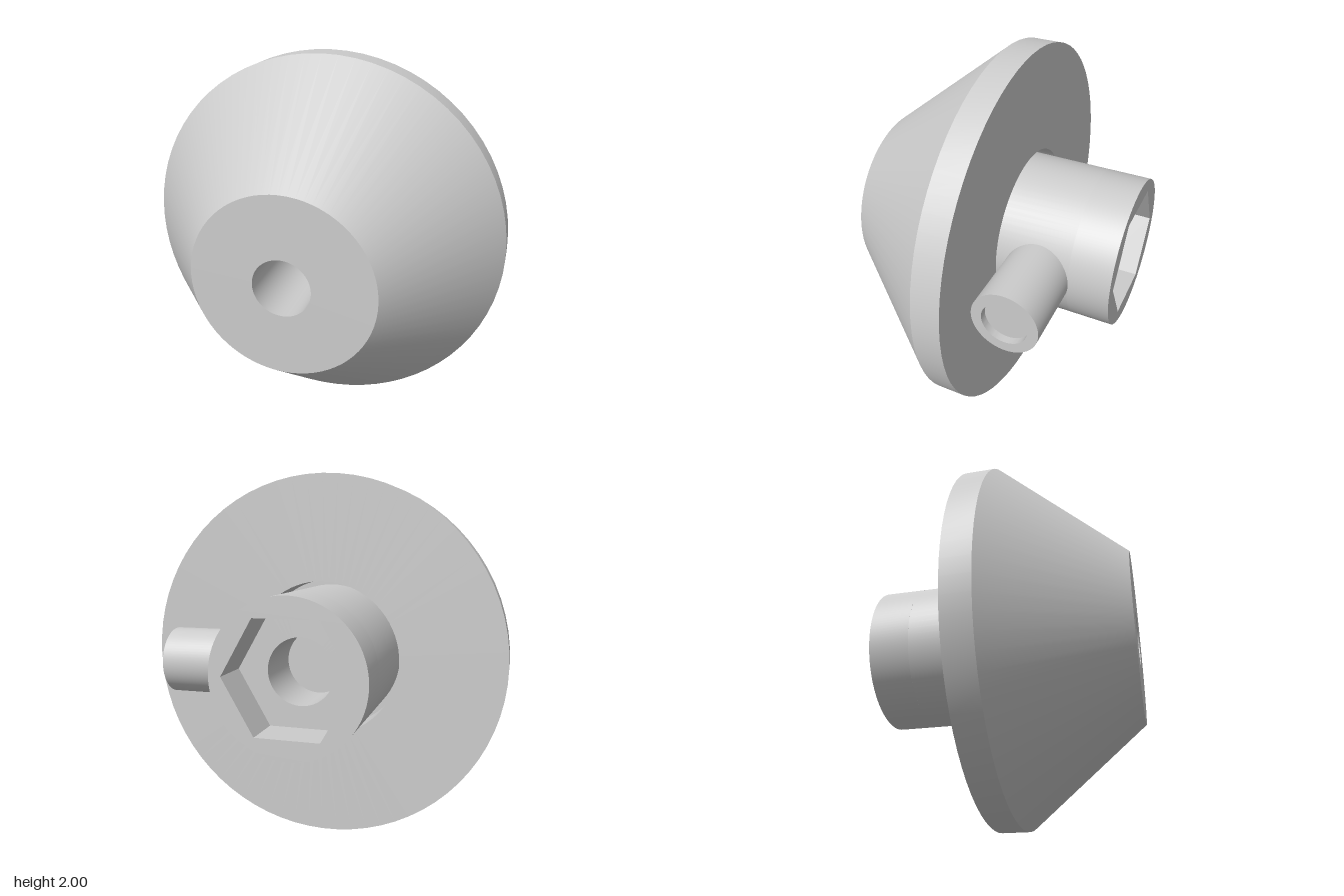
import * as THREE from 'three';
import { toCreasedNormals } from 'three/addons/utils/BufferGeometryUtils.js';

const SEGMENTS = 72;

// Named mesh with smooth curves and sharp edges
function part(name, geometry) {
  const material = new THREE.MeshStandardMaterial({ color: 0xcccccc });
  const mesh = new THREE.Mesh(toCreasedNormals(geometry, 0.5), material);
  mesh.name = name;
  return mesh;
}

// Turned solid: profile of [radius, z] pairs around the z axis
function turned(profile) {
  const points = profile.map(([r, z]) => new THREE.Vector2(r, z));
  return new THREE.LatheGeometry(points, SEGMENTS).rotateX(Math.PI / 2);
}

export function createModel() {
  const group = new THREE.Group();
  const body = new THREE.Group();
  body.name = 'knob';
  body.position.y = 1;
  group.add(body);

  // Tapered head with a rim, a front bore and a rear socket for the hub
  body.add(part('taperedHead', turned([
    [0.15, 0.1], [0.43, 0.1], [0.43, -0.1], [1, -0.1], [1, 0.05],
    [0.475, 0.7], [0.15, 0.7], [0.15, 0.1],
  ])));

  // Hub seated in the socket, with a blind bore from behind
  body.add(part('hub', turned([
    [0, -0.17], [0.175, -0.17], [0.175, -0.48], [0.4, -0.48], [0.4, 0.1], [0, 0.1],
  ])));

  // Rear end of the hub with a hexagonal pocket
  const ring = new THREE.Shape().absarc(0, 0, 0.4, 0, Math.PI * 2);
  const hexagon = [];
  for (let i = 0; i < 6; i++) {
    const a = (i * Math.PI) / 3;
    hexagon.push(new THREE.Vector2(0.335 * Math.cos(a), 0.335 * Math.sin(a)));
  }
  ring.holes.push(new THREE.Path(hexagon));
  const pocket = new THREE.ExtrudeGeometry(ring, {
    depth: 0.22, bevelEnabled: false, curveSegments: SEGMENTS,
  });
  pocket.translate(0, 0, -0.7);
  body.add(part('hexPocket', pocket));

  // Side stub with a shallow round recess in its end
  const stub = part('sideStub', turned([
    [0, 0.34], [0.175, 0.34], [0.175, 0.77], [0.12, 0.77], [0.12, 0.73], [0, 0.73],
  ]));
  stub.rotation.y = Math.PI / 2;
  stub.position.z = -0.31;
  body.add(stub);

  return group;
}
